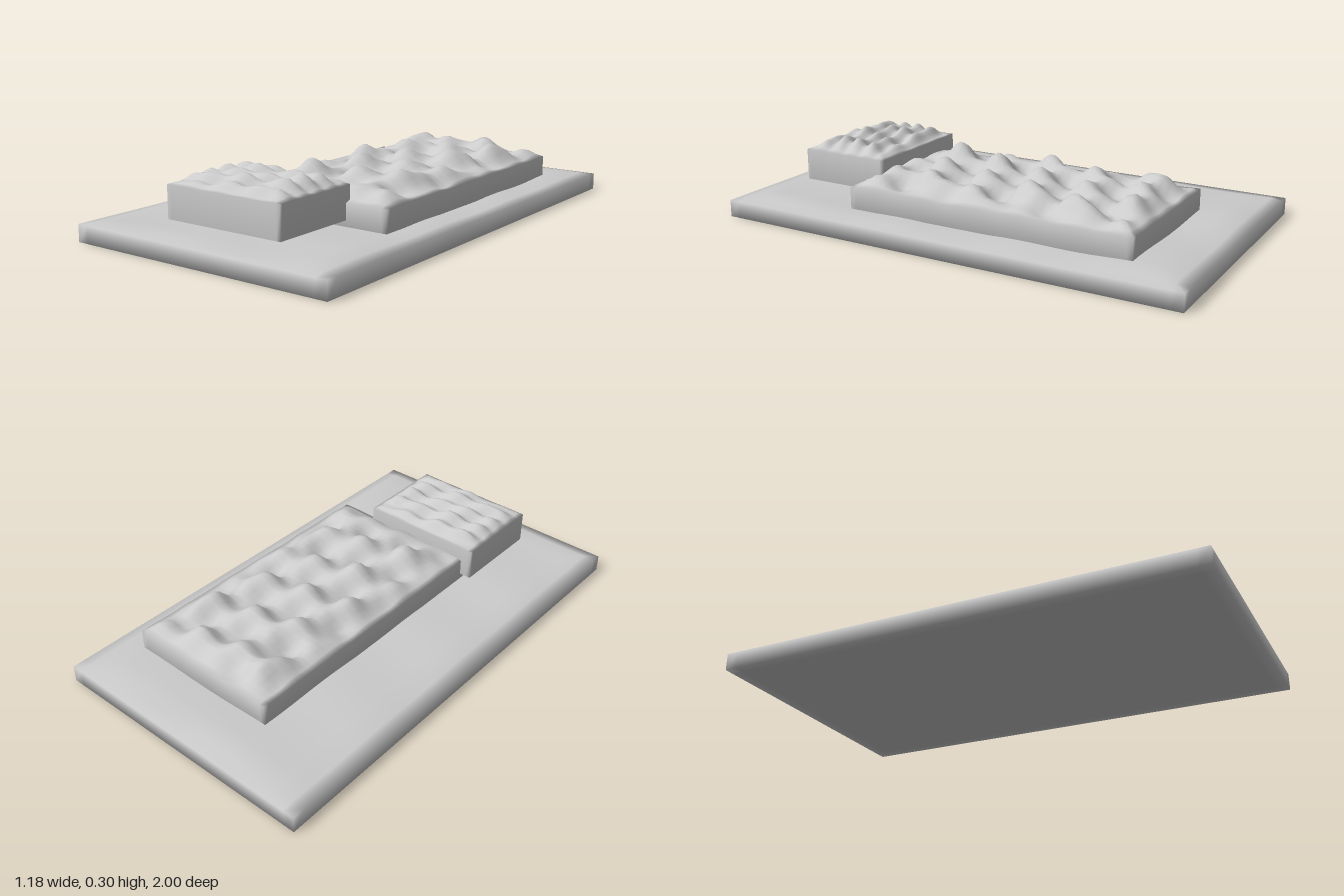
import * as THREE from 'three';
import { mergeVertices } from 'three/addons/utils/BufferGeometryUtils.js';

const material = new THREE.MeshStandardMaterial({ color: 0xcccccc });

// Smooth-shaded slab whose top follows relief(x, z, edge); edge runs 0 at the rim to 1 inside
function slab(name, { x, z, y, segs, rim, relief }) {
  const w = x[1] - x[0], d = z[1] - z[0];
  let geo = new THREE.BoxGeometry(w, y[1] - y[0], d, segs[0], 1, segs[1]);
  geo.translate((x[0] + x[1]) / 2, (y[0] + y[1]) / 2, (z[0] + z[1]) / 2);
  geo.deleteAttribute('normal');
  geo.deleteAttribute('uv');
  geo = mergeVertices(geo, 1e-4);
  const p = geo.attributes.position;
  const middle = (y[0] + y[1]) / 2;
  for (let i = 0; i < p.count; i++) {
    if (p.getY(i) < middle) continue;
    const px = p.getX(i), pz = p.getZ(i);
    const inset = Math.min(px - x[0], x[1] - px, pz - z[0], z[1] - pz);
    const edge = THREE.MathUtils.smoothstep(inset, -rim * 0.15, rim);
    p.setY(i, y[1] + relief(px, pz, edge));
  }
  geo.computeVertexNormals();
  const mesh = new THREE.Mesh(geo, material);
  mesh.name = name;
  return mesh;
}

const wave = (value, period, phase = 0) => Math.sin((2 * Math.PI * value) / period + phase);

export function createModel() {
  const group = new THREE.Group();
  group.name = 'reliefSlabs';

  // Broad base with a barely rolling top
  group.add(slab('base', {
    x: [-0.59, 0.59], z: [-1, 1], y: [0, 0.07], segs: [24, 40], rim: 0.1,
    relief: (x, z, e) => e * (0.013 + 0.004 * wave(x + 0.3 * z, 0.62) + 0.003 * wave(z - 0.2 * x, 0.5)),
  }));

  // Long block with steep crossing ridges
  group.add(slab('longBlock', {
    x: [-0.22, 0.45], z: [-0.755, 0.475], y: [0.08, 0.17], segs: [28, 48], rim: 0.13,
    relief: (x, z, e) => e * (0.043
      + 0.022 * wave(z + 0.25 * x, 0.22, 0.6)
      + 0.017 * wave(x + 0.3 * z, 0.17, 0.4)
      + 0.014 * wave(x - 0.2 * z, 0.29, 1.1) * wave(z, 0.37, 0.5)
      + 0.008 * wave(z - 0.5 * x, 0.13)),
  }));

  // Small raised block with fine ripples running across it
  group.add(slab('smallBlock', {
    x: [-0.27, 0.27], z: [0.45, 0.845], y: [0.105, 0.235], segs: [28, 32], rim: 0.08,
    relief: (x, z, e) => e * (0.034
      + 0.014 * wave(z + 0.12 * x, 0.08, 0.8)
      + 0.008 * wave(x + 0.4 * z, 0.14, 0.3)
      + 0.007 * wave(x - 0.3 * z, 0.24, 1.4)),
  }));
  return group;
}
